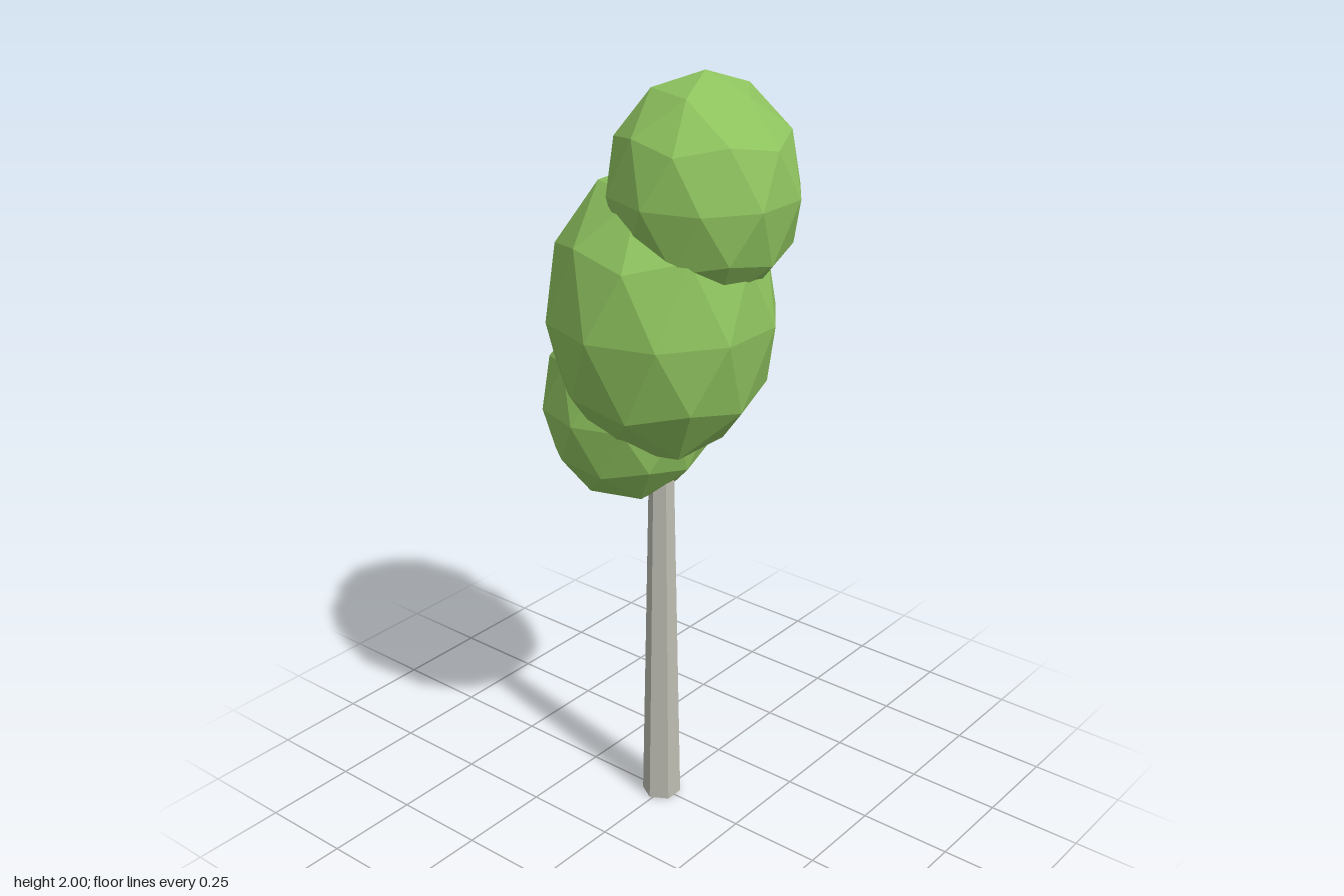
import * as THREE from 'three';

const leafGreen = new THREE.MeshStandardMaterial({ color: 0x8fc45f });
leafGreen.name = 'leafGreen';
const barkGrey = new THREE.MeshStandardMaterial({ color: 0xbdbdb3 });
barkGrey.name = 'barkGrey';

// Faceted ball with a corner straight up, stretched along y
function foliage(name, radius, halfHeight, x, y, z) {
  const geo = new THREE.IcosahedronGeometry(1, 1);
  geo.rotateZ(-Math.atan(2 / (1 + Math.sqrt(5))));
  geo.scale(radius, halfHeight, radius);
  geo.computeVertexNormals(); // unshared corners give flat facets
  const mesh = new THREE.Mesh(geo, leafGreen);
  mesh.name = name;
  mesh.position.set(x, y, z);
  return mesh;
}

export function createModel() {
  const tree = new THREE.Group();
  tree.name = 'tree';

  // Tapered six-sided trunk, running up into the foliage
  const height = 1.2;
  const trunkGeo = new THREE.CylinderGeometry(0.028, 0.052, height, 6).toNonIndexed();
  trunkGeo.computeVertexNormals();
  const trunk = new THREE.Mesh(trunkGeo, barkGrey);
  trunk.name = 'trunk';
  trunk.position.set(-0.008, height / 2, 0);
  tree.add(trunk);

  // Three overlapping clumps of leaves
  tree.add(
    foliage('lowerFoliage', 0.224, 0.263, -0.113, 1.139, 0),
    foliage('middleFoliage', 0.29, 0.387, -0.005, 1.4, 0),
    foliage('upperFoliage', 0.237, 0.28, 0.1, 1.72, -0.027),
  );
  return tree;
}
